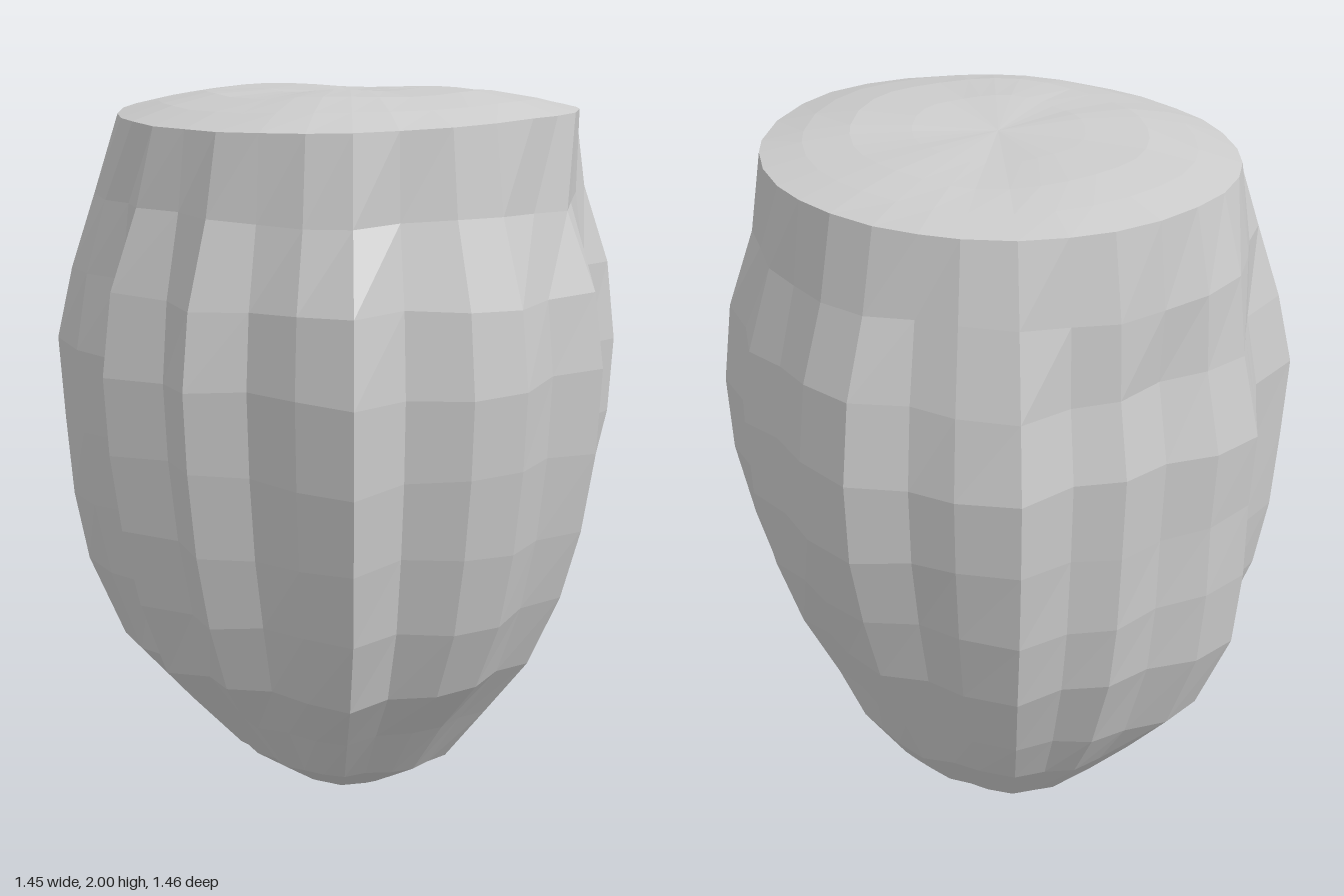
import * as THREE from 'three';

// widest cross-section (x, z): irregular ribs, clockwise seen from above
const RIBS = [
  [0, -0.72], [0.13, -0.66], [0.27, -0.65], [0.37, -0.57], [0.52, -0.54], [0.60, -0.40], [0.63, -0.28], [0.725, -0.16],
  [0.715, 0], [0.67, 0.13], [0.66, 0.26], [0.57, 0.37], [0.515, 0.50], [0.39, 0.50], [0.26, 0.58], [0.14, 0.73],
  [0, 0.68], [-0.15, 0.72], [-0.29, 0.67], [-0.40, 0.55], [-0.58, 0.55], [-0.62, 0.40], [-0.63, 0.25], [-0.725, 0.13],
  [-0.67, 0], [-0.725, -0.16], [-0.59, -0.26], [-0.60, -0.41], [-0.54, -0.56], [-0.37, -0.57], [-0.27, -0.64], [-0.15, -0.73],
];

// side levels: height, scale of the cross-section, rib strength, extra fullness at the back, at +x and at the front
const LEVELS = [
  [0, 0, 0, 0, 0, 0], [0.08, 0.215, 0.3, 0.03, 0, 0.03], [0.18, 0.42, 0.4, 0.05, 0.03, 0.06],
  [0.34, 0.61, 0.6, 0.06, 0.01, 0.02], [0.50, 0.79, 0.85, 0.05, -0.09, 0], [0.70, 0.88, 1, 0.08, -0.06, 0],
  [0.90, 0.945, 1, 0.04, -0.03, 0], [1.11, 0.985, 1, 0, 0, 0], [1.32, 1, 1, 0, 0, 0],
  [1.52, 0.975, 0.9, -0.03, 0, 0], [1.72, 0.925, 0.4, 0.06, 0, 0], [1.93, 0.9, 0, 0.06, 0, 0.03],
];

// lid levels: height, radius relative to the rim
const LID = [[1.93, 1], [1.958, 0.82], [1.978, 0.62], [1.982, 0.36], [1.974, 0]];

const ROUND = 0.645; // radius of the cross-section without ribs
const N = RIBS.length;

// point on the side at rib i of a level
function sidePoint([y, scale, strength, backFull, sideFull, frontFull], i) {
  const [x, z] = RIBS[i];
  const r = Math.hypot(x, z);
  const back = Math.max(0, -z / r);
  const front = Math.max(0, z / r);
  const side = Math.max(0, x / r);
  const full = backFull * back * back + sideFull * side + frontFull * front;
  const k = THREE.MathUtils.lerp(ROUND, r, strength) / r * (scale + full);
  const wave = 0.008 * Math.sin(i * Math.PI * 5 / 16 + y * 9) * Math.min(1, scale);
  const lean = -0.03 * Math.max(0, 1 - y / 0.7);
  const dip = y < 0.6 ? 0.04 * back * scale : 0;
  return [x * k, y + (y > 1.9 ? rimWave(i) : wave - dip), z * k + lean];
}

// uneven height of the rim, lower at the sides
function rimWave(i) {
  const [x, z] = RIBS[i];
  return 0.008 * z / 0.7 - 0.016 * Math.abs(x) / 0.7 + 0.008;
}

// point on the gently lumpy lid, highest towards the front right
function lidPoint([y, f], i) {
  const [x, , z] = sidePoint(LEVELS[LEVELS.length - 1], i);
  const inner = Math.sin(f * Math.PI);
  const lump = inner * (0.012 * z - 0.02 * x + 0.004 * Math.sin(i * Math.PI * 5 / 16));
  return [x * f, y + rimWave(i) * f + lump, z * f];
}

// skin stacked loops of N points, from bottom to top; a loop of size 0 closes the end
function skin(name, levels, point) {
  const positions = [];
  const index = [];
  for (const level of levels) for (let i = 0; i < N; i++) positions.push(...point(level, i));
  for (let j = 0; j < levels.length - 1; j++) {
    for (let i = 0; i < N; i++) {
      const a = j * N + i, b = j * N + (i + 1) % N;
      const c = b + N, d = a + N;
      if (levels[j][1] > 0) index.push(a, d, b);
      if (levels[j + 1][1] > 0) index.push(b, d, c);
    }
  }
  const geometry = new THREE.BufferGeometry();
  geometry.setAttribute('position', new THREE.Float32BufferAttribute(positions, 3));
  geometry.setIndex(index);
  geometry.computeVertexNormals();
  const mesh = new THREE.Mesh(geometry, new THREE.MeshStandardMaterial({ color: 0xcccccc, flatShading: true }));
  mesh.name = name;
  return mesh;
}

export function createModel() {
  const group = new THREE.Group();
  group.name = 'ribbedPod';
  group.add(skin('ribbedBody', LEVELS, sidePoint));
  group.add(skin('topFace', LID, lidPoint));
  return group;
}
